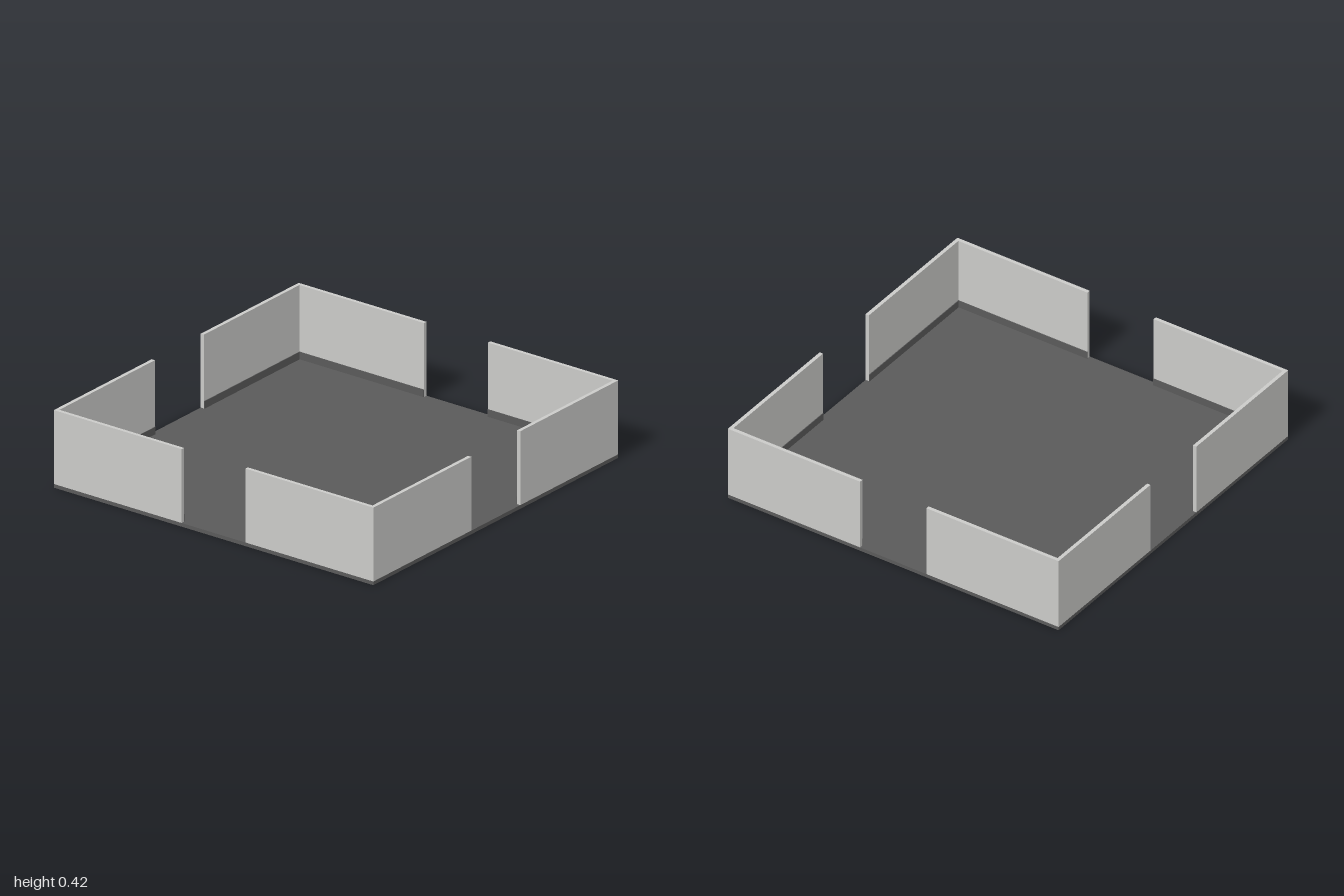
import * as THREE from 'three';

export function createModel() {
  const model = new THREE.Group();
  model.name = 'walledRoom';

  const wallPaint = new THREE.MeshStandardMaterial({ color: 0xcacac8 });
  wallPaint.name = 'light grey wall';
  const floorPaint = new THREE.MeshStandardMaterial({ color: 0x5a5a5a });
  floorPaint.name = 'dark grey floor';

  const FLOOR = 0.02;   // floor thickness
  const TOP = 0.42;     // top of the walls
  const CAP = 0.015;    // height of the wall capping
  const THICK = 0.02;   // wall thickness
  const GAP = 0.2;      // half width of each doorway

  // Box given by its lower and upper corners
  function box(name, material, min, max, parent) {
    const size = max.map((v, i) => v - min[i]);
    const mesh = new THREE.Mesh(new THREE.BoxGeometry(...size), material);
    mesh.position.set(...max.map((v, i) => (v + min[i]) / 2));
    mesh.name = name;
    parent.add(mesh);
  }

  box('floor', floorPaint, [-1, 0, -1], [1, FLOOR, 1], model);

  // One L-shaped corner per quarter turn leaves a doorway in every side
  for (let i = 0; i < 4; i++) {
    const corner = new THREE.Group();
    corner.name = `wallCorner${i + 1}`;
    const inner = 1 - THICK;

    // Wall panels with a flush capping strip
    for (const [name, y0, y1] of [['wall', FLOOR, TOP - CAP], ['wallCap', TOP - CAP, TOP]]) {
      box(name, wallPaint, [GAP, y0, inner], [1, y1, 1], corner);
      box(name, wallPaint, [inner, y0, GAP], [1, y1, inner], corner);
    }

    // Thin skirting along the inside foot of the walls
    const s = inner - 0.004;
    box('skirting', floorPaint, [GAP, FLOOR, s], [inner, 0.06, inner], corner);
    box('skirting', floorPaint, [s, FLOOR, GAP], [inner, 0.06, s], corner);

    corner.rotation.y = i * Math.PI / 2;
    model.add(corner);
  }
  return model;
}
